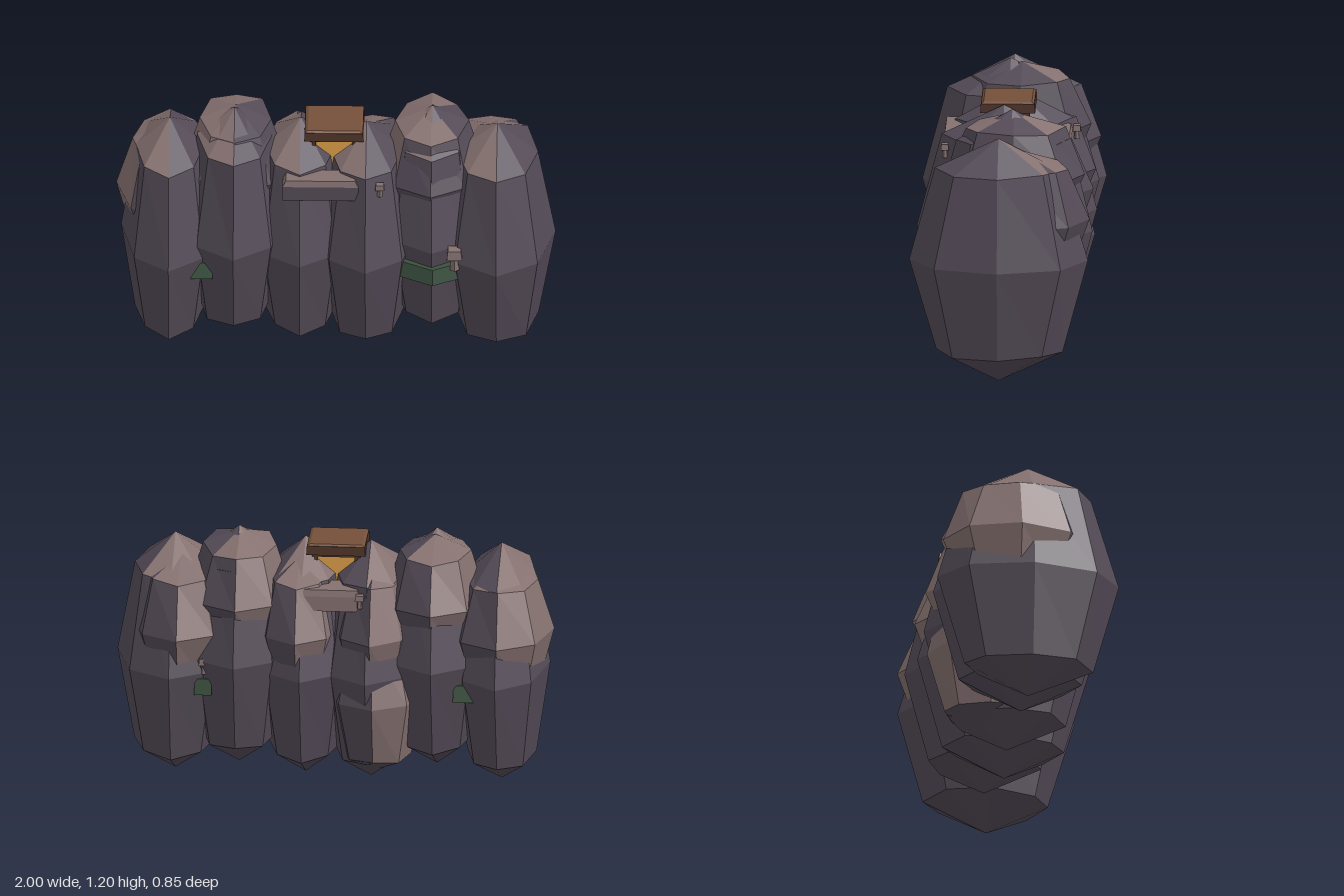
import * as THREE from 'three';

const mat = (name, color) => {
  const m = new THREE.MeshStandardMaterial({ color });
  m.name = name;
  return m;
};

export function createModel() {
  const group = new THREE.Group();
  const darkRock = mat('dark rock', 0x544b57);
  const paleRock = mat('pale rock', 0x857170);
  const moss = mat('moss', 0x3c5140);
  const wood = mat('roof wood', 0x75503a);
  const darkWood = mat('dark wood', 0x4e3429);
  const glow = mat('amber glow', 0xdb9d48);
  const stone = [darkRock, paleRock];

  // Stone is weathered pale on the faces turned to this side
  const weatherSide = new THREE.Vector3(-0.8, 0.45, -0.35);
  const weather = (geometry, minSlope) => {
    const n = new THREE.Vector3();
    for (let i = 0; i < geometry.attributes.position.count; i += 3) {
      n.fromBufferAttribute(geometry.attributes.normal, i);
      const pale = n.dot(weatherSide) > 0.25 && n.y > minSlope;
      geometry.addGroup(i, 3, pale ? 1 : 0);
    }
  };

  // Faceted part with hard edges
  const add = (name, geometry, material, [x, y, z], minSlope = -1) => {
    const flat = geometry.toNonIndexed();
    flat.clearGroups();
    flat.computeVertexNormals();
    if (material === stone) weather(flat, minSlope);
    const mesh = new THREE.Mesh(flat, material);
    mesh.name = name;
    mesh.position.set(x, y, z);
    group.add(mesh);
  };

  // Eight-sided boulder with slightly uneven, full shoulders
  const boulder = (name, center, [rx, ry, rz], uneven, minSlope) => {
    const g = new THREE.SphereGeometry(1, 8, 4);
    const p = g.attributes.position;
    for (let i = 0; i < p.count; i++) {
      const a = p.getX(i), b = p.getY(i), c = p.getZ(i);
      const shoulder = Math.abs(b) > 0.1 && Math.abs(b) < 0.9;
      const k = shoulder ? 1 + uneven * Math.sin(a * 5 + b * 7 + c * 3 + center[0] * 11) : 1;
      p.setXYZ(i, a * rx * k, b * ry * (shoulder ? 1.06 : 1) * k, c * rz * k);
    }
    add(name, g, stone, center, minSlope);
  };

  // Box narrowed toward its top
  const block = (name, material, center, [w, h, d], top = 1) => {
    const g = new THREE.BoxGeometry(w, h, d);
    const p = g.attributes.position;
    for (let i = 0; i < p.count; i++) {
      if (p.getY(i) > 0) p.setXYZ(i, p.getX(i) * top, p.getY(i), p.getZ(i) * top);
    }
    add(name, g, material, center);
  };

  // Row of six tall boulders, overlapping, pale only on their tips
  [
    [[-0.755, 0.575, -0.008], [0.222, 0.57, 0.417]],
    [[-0.46, 0.635, 0.002], [0.24, 0.57, 0.403]],
    [[-0.16, 0.575, -0.02], [0.23, 0.57, 0.38]],
    [[0.14, 0.575, 0.012], [0.235, 0.57, 0.398]],
    [[0.44, 0.635, -0.035], [0.24, 0.57, 0.365]],
    [[0.735, 0.575, 0.018], [0.265, 0.57, 0.407]],
  ].forEach(([c, r]) => boulder('tallBoulder', c, r, 0.015, 0.5));

  // Weathered caps set high and toward the back
  [
    [[-0.76, 0.76, -0.07], [0.24, 0.32, 0.33]],
    [[-0.455, 0.9, -0.05], [0.23, 0.29, 0.315]],
    [[-0.18, 0.76, -0.065], [0.195, 0.32, 0.33]],
    [[0.16, 0.76, -0.085], [0.195, 0.32, 0.31]],
    [[0.435, 0.9, -0.045], [0.235, 0.29, 0.32]],
    [[0.7, 0.76, -0.085], [0.23, 0.32, 0.31]],
  ].forEach(([c, r]) => boulder('weatheredCap', c, r, 0.035, -1));

  // Low stone filling the back of the middle
  boulder('lowStone', [-0.19, 0.45, -0.12], [0.22, 0.38, 0.27], 0.04, -1);

  // Ledges before and behind the lantern, with a worn upper edge
  const ledge = (name, x, z, width, depth) => {
    block(name, stone, [x, 0.925, z], [width, 0.07, depth]);
    block(name + 'Edge', paleRock, [x, 0.975, z], [width, 0.03, depth], 0.91);
  };
  ledge('frontLedge', -0.065, 0.235, 0.345, 0.11);
  ledge('backLedge', 0.005, -0.215, 0.27, 0.15);

  // Moss around one boulder and in the gaps between others
  const band = new THREE.CylinderGeometry(0.96, 1, 0.075, 8);
  band.scale(0.255, 1, 0.335);
  add('mossBand', band, moss, [0.445, 0.512, 0.012]);
  block('mossPatch', moss, [-0.605, 0.512, -0.005], [0.1, 0.075, 0.62], 0.95);
  block('mossPatch', moss, [0.585, 0.512, -0.16], [0.08, 0.075, 0.3], 0.95);

  // Small stone pegs with wider heads
  [[0.545, 0.58, 0.305, 1], [0.205, 0.935, 0.28, 0.6], [-0.13, 0.94, -0.31, 0.6], [0.58, 0.6, -0.29, 0.7]]
    .forEach(([x, y, z, s]) => {
      add('pegStem', new THREE.CylinderGeometry(0.018 * s, 0.022 * s, 0.08 * s, 5), paleRock, [x, y, z]);
      block('pegHead', paleRock, [x, y + 0.045 * s, z], [0.07 * s, 0.045 * s, 0.06 * s], 0.85);
    });

  // Lantern: amber body, corner posts and a stepped roof
  block('lanternBody', glow, [-0.007, 0.99, -0.003], [0.178, 0.2, 0.178]);
  for (const sx of [-1, 1]) for (const sz of [-1, 1]) {
    block('lanternPost', darkWood, [-0.007 + sx * 0.091, 1.0, -0.003 + sz * 0.091], [0.016, 0.19, 0.016]);
  }
  block('roofUnderside', darkWood, [-0.007, 1.094, -0.003], [0.22, 0.018, 0.2]);
  block('roofRim', darkWood, [-0.007, 1.122, -0.003], [0.27, 0.042, 0.25], 0.98);
  block('roofTop', wood, [-0.007, 1.146, -0.003], [0.264, 0.009, 0.244], 0.9);

  return group;
}
